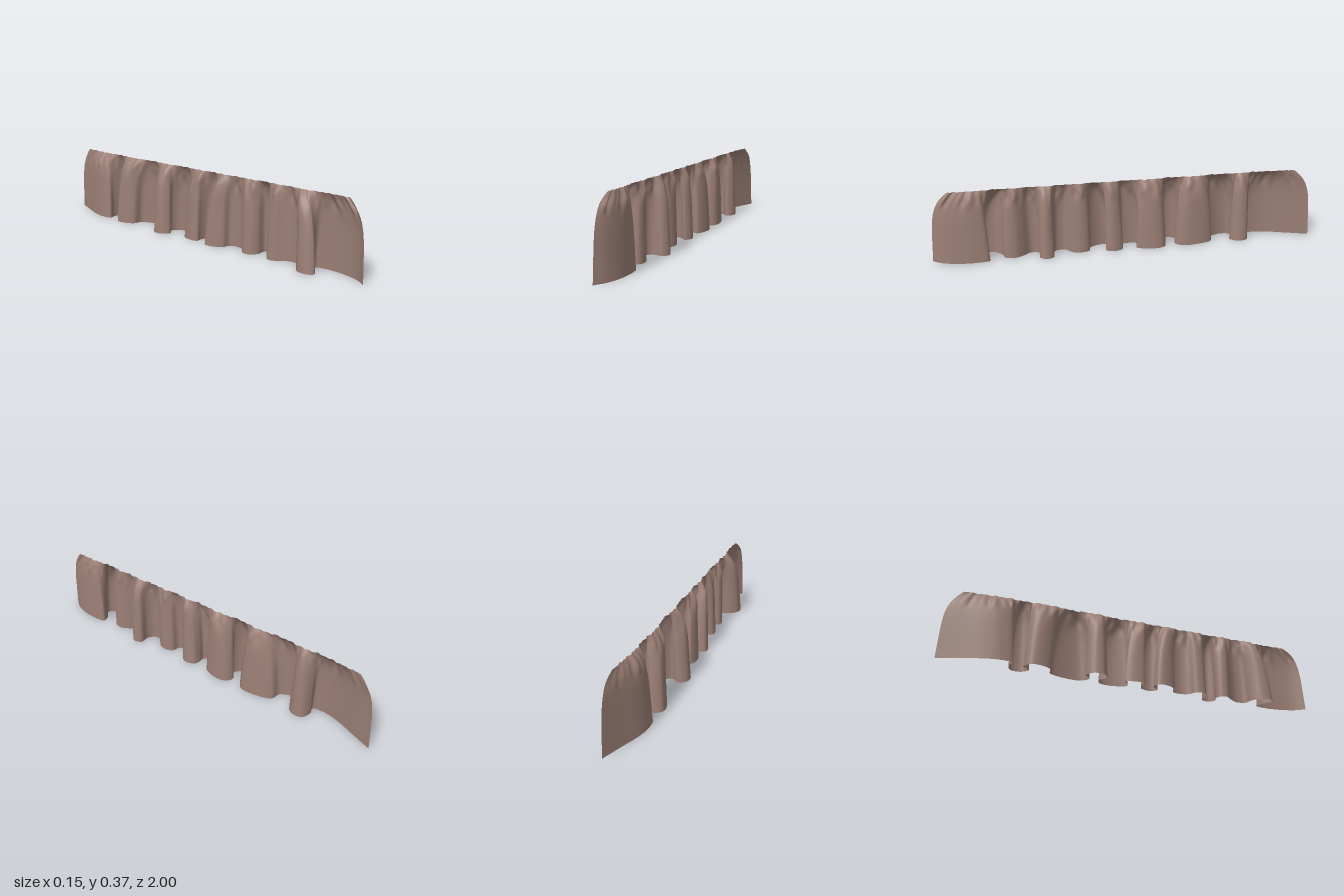
import * as THREE from 'three';

// Hem line seen from above, as [x, z] from the front end to the back end
const HEM = [
  [-.02, 1], [.015, .95], [.04, .87], [.047, .78], [.035, .72], [-.01, .735], [-.05, .77], [-.075, .745],
  [-.07, .69], [-.03, .655], [.015, .64], [.025, .59], [.005, .55], [-.025, .51], [-.02, .475], [.01, .46],
  [.05, .47], [.075, .44], [.06, .4], [.01, .4], [-.025, .375], [-.025, .33], [.015, .3], [.03, .25],
  [.015, .21], [-.025, .2], [-.055, .14], [-.05, .1], [-.01, .09], [.025, .125], [.05, .09], [.035, .04],
  [0, .03], [-.035, .03], [-.04, -.03], [-.02, -.07], [.005, -.05], [.03, -.04], [.06, -.12], [.05, -.18],
  [.01, -.2], [-.03, -.17], [-.07, -.2], [-.07, -.25], [-.03, -.28], [.01, -.25], [.05, -.28], [.05, -.37],
  [.02, -.45], [-.03, -.46], [-.06, -.52], [-.055, -.57], [-.01, -.59], [.02, -.555], [.055, -.59], [.05, -.64],
  [0, -.66], [-.04, -.65], [-.05, -.71], [-.035, -.79], [.003, -.89], [.045, -1],
];
// Folds that lean sideways toward the top, as [z, lean]
const LEANS = [[.72, -.035], [.12, .04], [-.05, .035], [-.46, .04]];
const HEIGHT = 0.367, COLS = 366, ROWS = 36;

export function createModel() {
  const group = new THREE.Group();
  group.name = 'gatheredValance';
  const fabric = new THREE.MeshStandardMaterial({ color: 0x9c8076, side: THREE.DoubleSide });
  fabric.name = 'dusty brown fabric';

  const hem = new THREE.CatmullRomCurve3(HEM.map(([x, z]) => new THREE.Vector3(x, 0, z)), false, 'centripetal');
  const line = Array.from({ length: COLS + 1 }, (_, i) => hem.getPoint(i / COLS));

  // Straightened position along the gathered top edge: smooth out the folds, then lean some of them
  const topZ = line.map((p, i) => {
    const r = Math.min(20, i, COLS - i);
    let sum = 0;
    for (let k = -r; k <= r; k++) sum += line[i + k].z;
    const z = sum / (2 * r + 1);
    return LEANS.reduce((s, [c, lean]) => s + lean * Math.exp(-(((z - c) / 0.09) ** 2)), z);
  });

  // Sheet of cloth from the hem up to the gathered edge
  const geo = new THREE.PlaneGeometry(1, 1, COLS, ROWS);
  const pos = geo.attributes.position;
  for (let j = 0; j <= ROWS; j++) {
    const t = 1 - (j / ROWS) ** 1.7; // rows are closer together near the top
    const fold = 1 - 0.25 * t - 0.67 * t ** 9; // depth of the large folds
    const slide = 0.4 * t + 0.6 * t ** 4;
    const rounding = 0.018 * t + 0.082 * t ** 6; // rounded upper corners
    const pucker = 0.45 * Math.exp(-(((t - 1) / 0.04) ** 2)) + Math.exp(-(((t - 0.88) / 0.09) ** 2));
    for (let i = 0; i <= COLS; i++) {
      const p = line[i], zt = topZ[i];
      const ripple = 0.005 * Math.sin(zt * 131) + 0.004 * Math.sin(zt * 77 + 1.3);
      const spine = 0.01 + 0.012 * THREE.MathUtils.smoothstep(-zt, 0.6, 0.9);
      const z = THREE.MathUtils.lerp(p.z, zt, slide);
      pos.setXYZ(
        j * (COLS + 1) + i,
        p.x * fold + spine * (1 - fold) + ripple * pucker,
        t * HEIGHT,
        z * (1 - rounding * z ** 4),
      );
    }
  }
  geo.computeVertexNormals();

  const cloth = new THREE.Mesh(geo, fabric);
  cloth.name = 'pleatedCloth';
  group.add(cloth);
  return group;
}
